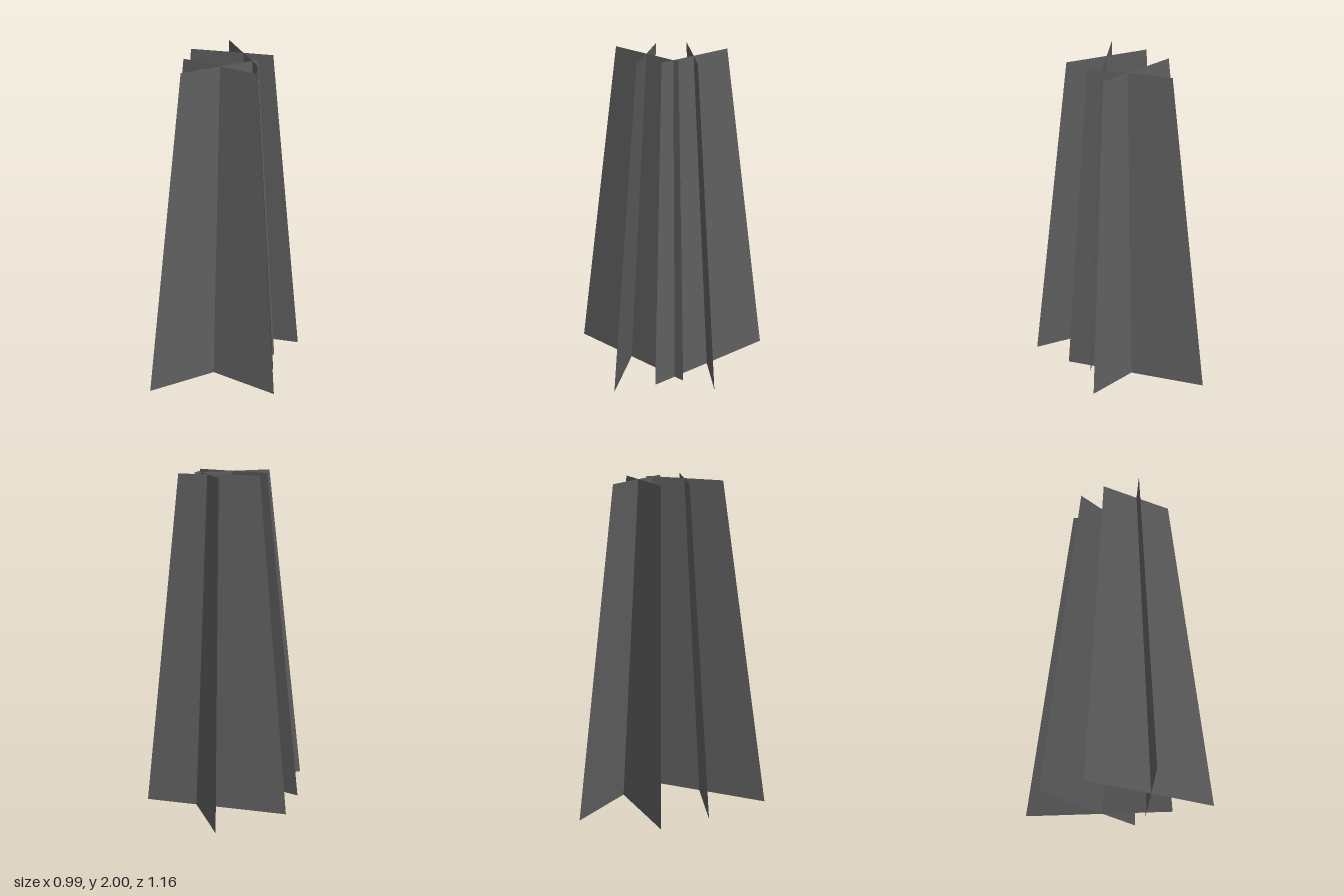
import * as THREE from 'three';

const darkGrey = new THREE.MeshStandardMaterial({ color: 0x5e5e5e, side: THREE.DoubleSide });
darkGrey.name = 'darkGrey';

const HEIGHT = 2;

// Each panel: ends of its bottom edge and of its top edge, as [x, z]
const panels = {
  frontPanel: { bottom: [[-0.386, 0.198], [0.496, 0.198]], top: [[-0.211, 0.092], [0.283, 0.092]] },
  leaningPanel: { bottom: [[-0.165, 0.58], [0.275, -0.185]], top: [[-0.085, 0.305], [0.16, -0.121]] },
  rearPanel: { bottom: [[-0.322, -0.58], [0.36, -0.027]], top: [[-0.175, -0.342], [0.206, -0.034]] },
  crossPanel: { bottom: [[-0.496, -0.106], [0.335, -0.392]], top: [[-0.274, -0.079], [0.192, -0.238]] },
};

// Flat tapering panel standing between its bottom and top edges
function taperedPanel(name, { bottom, top }) {
  const geometry = new THREE.PlaneGeometry(1, 1);
  const corners = [...top.map(([x, z]) => [x, HEIGHT, z]), ...bottom.map(([x, z]) => [x, 0, z])];
  corners.forEach((p, i) => geometry.attributes.position.setXYZ(i, ...p));
  geometry.computeVertexNormals();
  const mesh = new THREE.Mesh(geometry, darkGrey);
  mesh.name = name;
  return mesh;
}

export function createModel() {
  const model = new THREE.Group();
  model.name = 'crossedPanels';
  for (const [name, edges] of Object.entries(panels)) model.add(taperedPanel(name, edges));
  return model;
}
